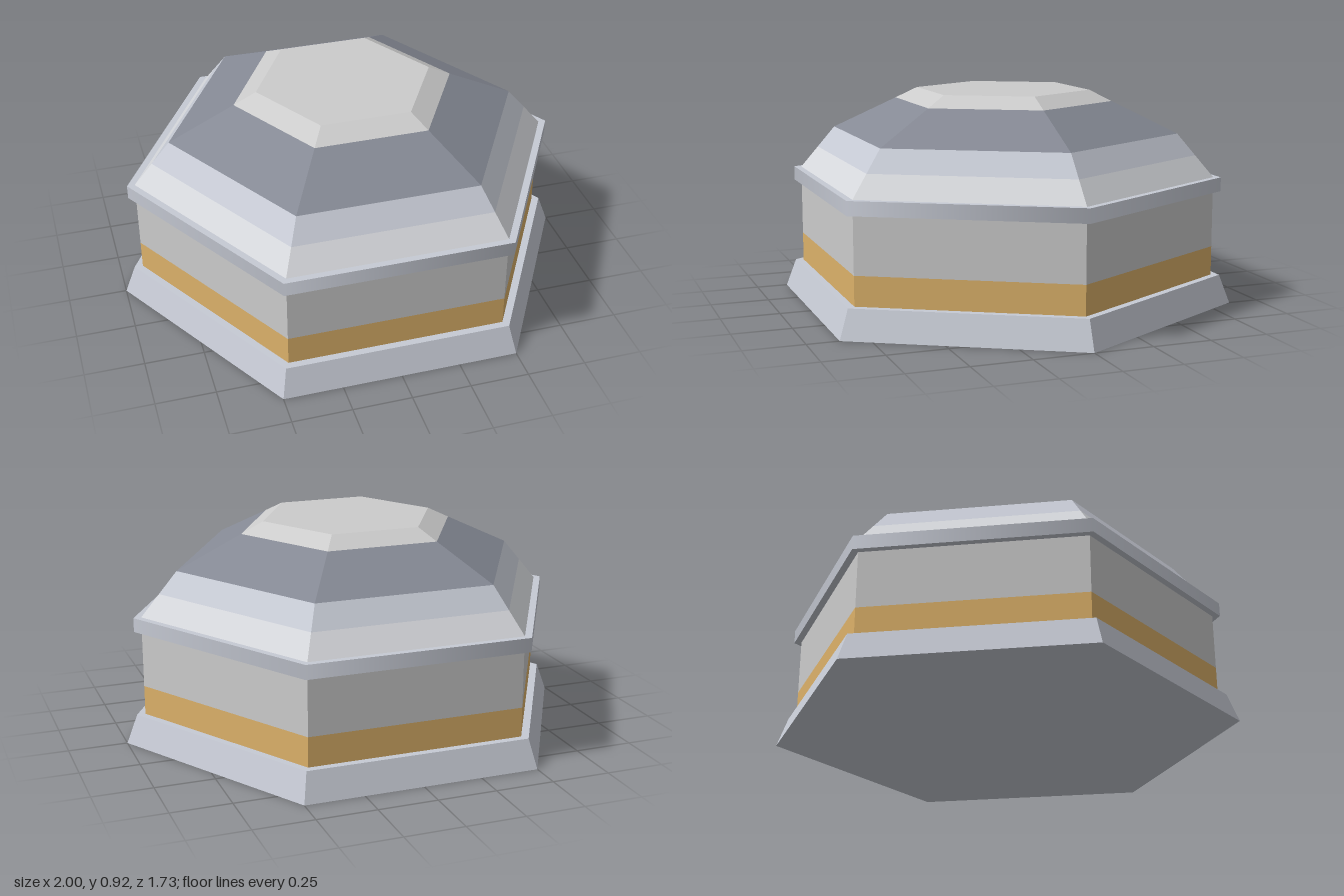
import * as THREE from 'three';

const GREY = 0xcccccc, STEEL = 0xc6cad4, GOLD = 0xddb26a, SLATE = 0x858994;

// Six-sided ring or frustum with corners on the x axis
function hexBand(name, rBottom, rTop, y0, y1, color, open, flat = true) {
  const geometry = new THREE.CylinderGeometry(rTop, rBottom, y1 - y0, 6, 1, open, Math.PI / 2);
  const material = new THREE.MeshStandardMaterial({ color, flatShading: flat });
  if (open) material.side = THREE.DoubleSide;
  const mesh = new THREE.Mesh(geometry, material);
  mesh.name = name;
  mesh.position.y = (y0 + y1) / 2;
  return mesh;
}

export function createModel() {
  const model = new THREE.Group();
  model.name = 'hexagonalBuilding';

  // Sloped plinth and straight walls with a gold stripe
  model.add(hexBand('basePlinth', 1, 0.953, 0, 0.122, STEEL, false));
  model.add(hexBand('wallStripe', 0.917, 0.917, 0.122, 0.247, GOLD, true));
  model.add(hexBand('wall', 0.917, 0.917, 0.247, 0.49, GREY, true));

  // Overhanging rim, shaded smoothly around its corners
  model.add(hexBand('rim', 0.95, 0.95, 0.49, 0.55, STEEL, false, false));

  // Domed roof: two steep bands, a dark shallow band and a light cap
  const roof = new THREE.Group();
  roof.name = 'roof';
  roof.add(hexBand('roofLowerBand', 0.917, 0.838, 0.55, 0.643, 0xd6d8dc, true));
  roof.add(hexBand('roofUpperBand', 0.838, 0.76, 0.643, 0.735, STEEL, true));
  roof.add(hexBand('roofDarkBand', 0.76, 0.477, 0.735, 0.87, SLATE, true));
  roof.add(hexBand('roofCap', 0.477, 0.38, 0.87, 0.917, GREY, false));
  model.add(roof);

  return model;
}
